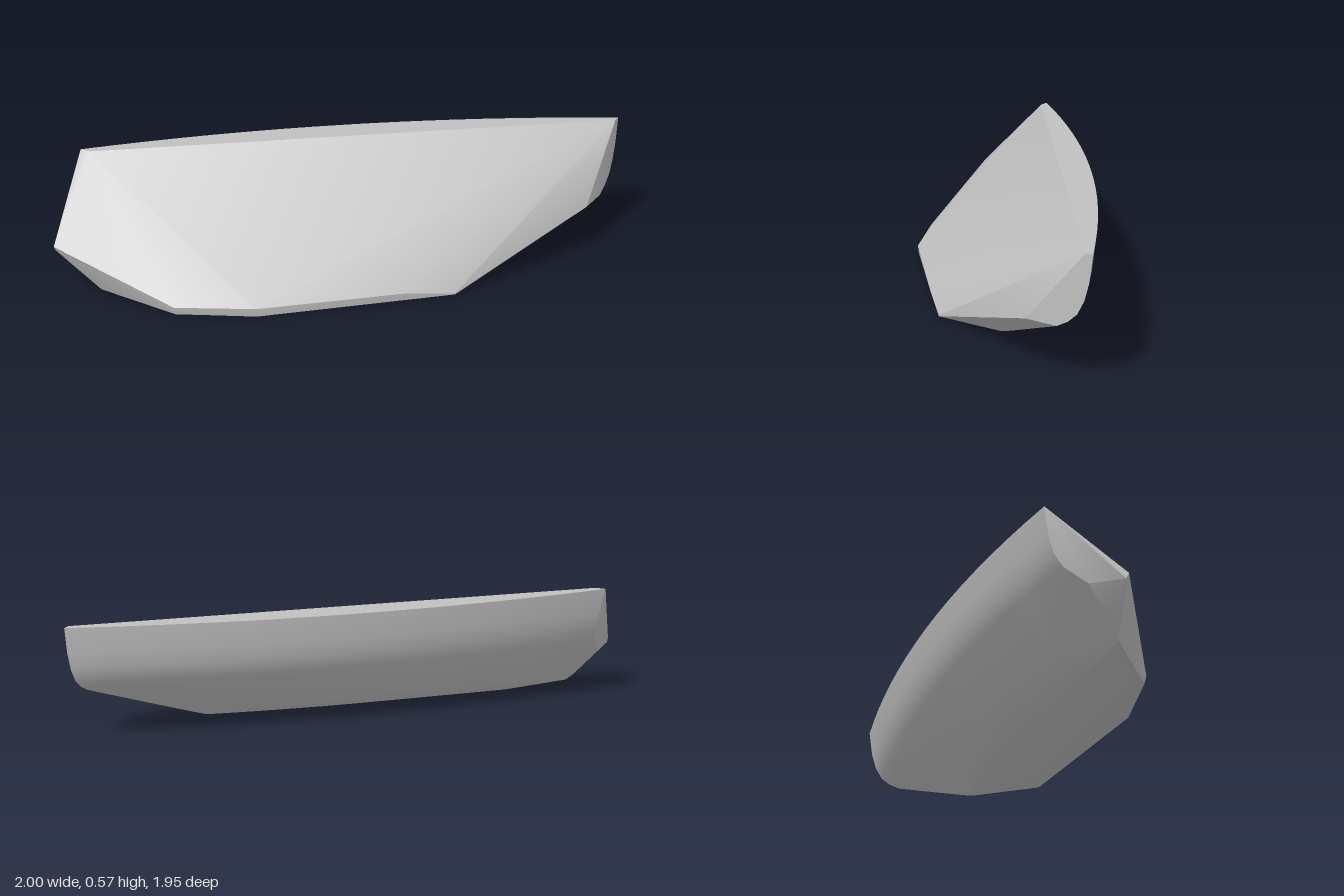
import * as THREE from 'three';
import { ConvexGeometry } from 'three/addons/geometries/ConvexGeometry.js';
import { toCreasedNormals } from 'three/addons/utils/BufferGeometryUtils.js';

const v = (x, y, z) => new THREE.Vector3(x, y, z);

export function createModel() {
  const group = new THREE.Group();
  group.name = 'wedgeShard';
  const stone = new THREE.MeshStandardMaterial({ color: 0xc0c0c0 });
  stone.name = 'pale grey';

  // Rounded back: each row runs from the left end to the right end and bows outward
  const rows = [
    [v(-1, 0.575, 0.635), v(1, 0.575, -0.975), 0.11],
    [v(-0.971, 0.45, 0.642), v(1, 0.45, -0.958), 0.11],
    [v(-0.952, 0.37, 0.658), v(1, 0.37, -0.935), 0.11],
    [v(-0.937, 0.305, 0.695), v(1, 0.305, -0.9), 0.11],
    [v(-0.926, 0.26, 0.745), v(1, 0.265, -0.855), 0.11],
    [v(-0.92, 0.215, 0.8), v(1, 0.235, -0.8), 0.115],
    [v(-0.83, 0.11, 0.85), v(0.82, 0.107, -0.515), 0.11],
    [v(-0.78, 0.055, 0.87), v(0.74, 0.05, -0.39), 0.09],
    [v(-0.74, 0.02, 0.873), v(0.67, 0.002, -0.28), 0.055],
  ];
  const outward = v(-0.627, 0, -0.779);
  const points = [];
  const steps = 16;
  for (const [left, right, bow] of rows) {
    for (let i = 0; i <= steps; i++) {
      const t = i / steps;
      points.push(left.clone().lerp(right, t).addScaledVector(outward, bow * 4 * t * (1 - t)));
    }
  }

  // Left end corner
  points.push(v(-0.92, 0.235, 0.975), v(-0.92, 0.212, 0.962));
  // Sloped front face: top edge, right end and lower lip
  points.push(
    v(-0.95, 0.575, 0.635), v(1, 0.575, -0.94), v(1, 0.235, -0.64),
    v(0.67, 0.005, 0.07), v(0.5, 0.04, 0.25), v(0, 0.04, 0.715), v(-0.33, 0.037, 0.885),
  );
  // Flat underside
  points.push(v(-0.33, 0, 0.875), v(0, 0, 0.71), v(0.67, 0, 0.07), v(0.66, 0, -0.26), v(-0.5, 0, 0.66));

  const body = new THREE.Mesh(toCreasedNormals(new ConvexGeometry(points), 0.55), stone);
  body.name = 'body';
  group.add(body);
  return group;
}
